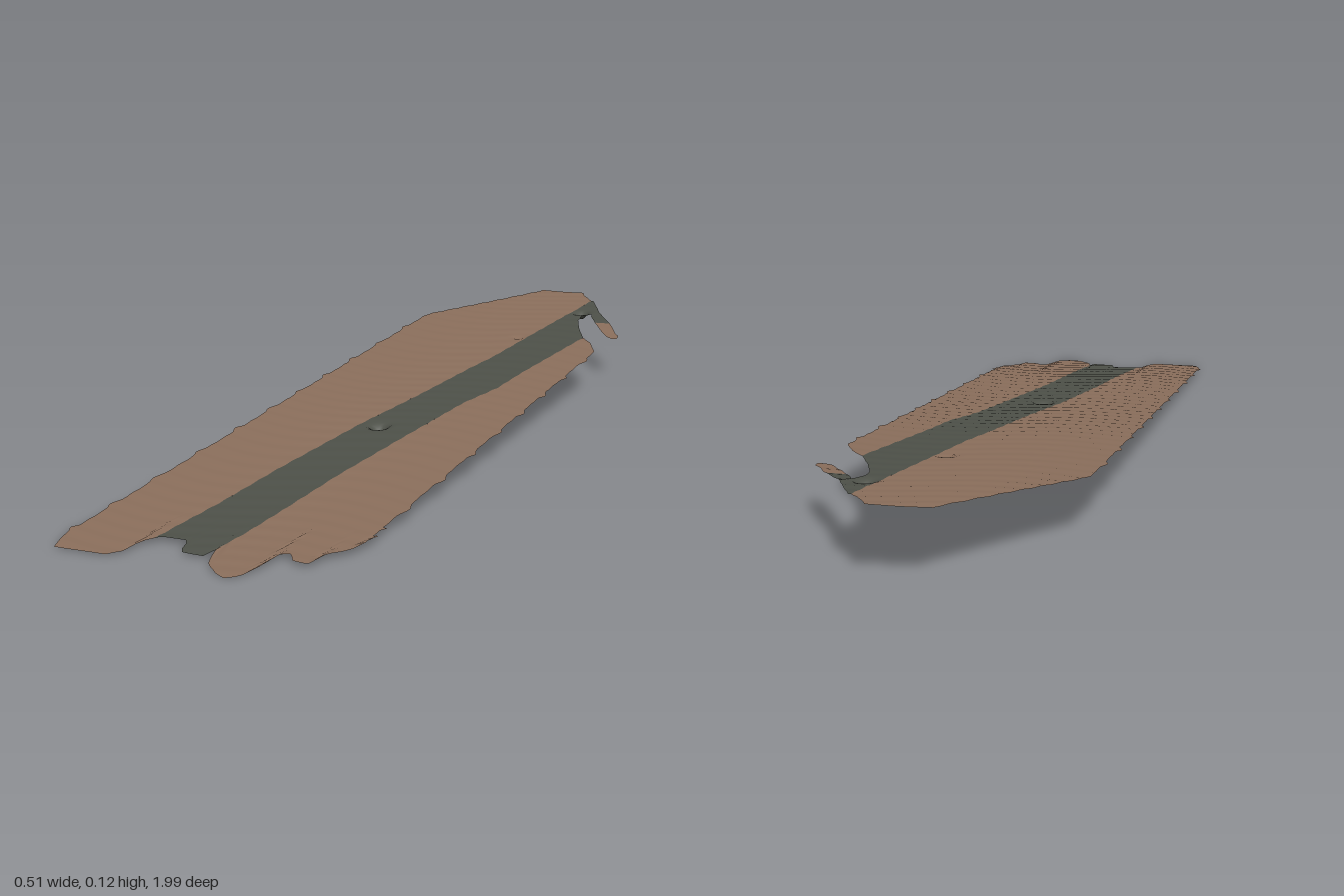
import * as THREE from 'three';

const brown = new THREE.MeshStandardMaterial({ name: 'brownCloth', color: 0x8a6e5b, side: THREE.DoubleSide });
const grey = new THREE.MeshStandardMaterial({ name: 'greyStripe', color: 0x4d5048, side: THREE.DoubleSide });

// Piecewise-linear lookup in a list of [key, value] pairs
function along(points, k) {
  if (k <= points[0][0]) return points[0][1];
  for (let i = 1; i < points.length; i++) {
    const [k0, v0] = points[i - 1], [k1, v1] = points[i];
    if (k <= k1) return v0 + (v1 - v0) * (k - k0) / (k1 - k0);
  }
  return points[points.length - 1][1];
}

// Edges as [z, x]
const leftBorder = [[-0.99, -0.06], [-0.97, -0.07], [-0.84, -0.145], [-0.69, -0.235], [-0.66, -0.247], [0.97, -0.247], [1, -0.232]];
const stripeLeft = [[-0.995, 0.05], [-0.97, 0.06], [-0.92, 0.095], [-0.85, 0.09], [-0.75, 0.08], [-0.55, 0.062],
  [-0.35, 0.045], [-0.25, 0.03], [0, 0], [0.2, -0.03], [0.5, -0.06], [1, -0.093]];
const stripeRight = [[-0.92, 0.1], [-0.86, 0.128], [-0.81, 0.15], [-0.79, 0.138], [-0.76, 0.12], [-0.72, 0.125],
  [-0.65, 0.15], [-0.57, 0.185], [-0.25, 0.15], [-0.12, 0.14], [0, 0.112], [0.25, 0.085], [0.5, 0.06], [1, 0.03]];
const rightBorder = [[-0.57, 0.186], [-0.53, 0.215], [-0.46, 0.247], [1, 0.247]];
const strandInner = [[-0.81, 0.13], [-0.77, 0.142], [-0.70, 0.18], [-0.64, 0.215], [-0.625, 0.225], [-0.615, 0.24]];
const strandOuter = [[-0.81, 0.15], [-0.72, 0.207], [-0.66, 0.235], [-0.64, 0.25], [-0.615, 0.252]];

// Torn front hem as [x, z]
const hem = [[-0.25, 0.94], [-0.232, 0.975], [-0.13, 0.978], [-0.113, 0.955], [-0.105, 0.9], [-0.085, 0.878], [-0.035, 0.877],
  [-0.022, 0.925], [0.024, 0.93], [0.032, 0.89], [0.04, 0.945], [0.055, 0.965], [0.08, 0.99], [0.10, 1], [0.122, 0.985],
  [0.13, 0.95], [0.135, 0.885], [0.155, 0.875], [0.17, 0.9], [0.2, 0.905], [0.208, 0.86], [0.24, 0.82], [0.25, 0.77]];

// Sunken knots as [x, z, radius, depth]
const knots = [[0.01, 0.2, 0.014, 0.024], [0.108, -0.8, 0.014, 0.018], [0.04, -0.53, 0.012, 0.006]];

// Sloping sheet with fine ripples and knots
function height(x, z) {
  let y = 0.062 - 0.059 * z;
  y += 0.0006 * Math.sin(z * 120 + 3 * Math.sin(x * 14) + 2 * Math.sin(z * 7));
  for (const [kx, kz, r, d] of knots) {
    y -= d * Math.exp(-((x - kx) ** 2 + (z - kz) ** 2) / (r * r));
  }
  return y;
}

// Small teeth along the worn side hems
const teeth = z => 0.008 * Math.max(0, Math.sin(z * 43 + Math.sin(z * 5))) ** 4;

// Grid of cloth between two edges
function panel(name, material, left, right, z0, z1, cols, { torn = false, drop = 0 } = {}) {
  const rows = Math.ceil((z1 - z0) / 0.007);
  const position = [], index = [];
  for (let i = 0; i <= rows; i++) {
    const z = z0 + (z1 - z0) * i / rows;
    let a = along(left, z), b = along(right, z);
    if (left === leftBorder && z > -0.68) a -= teeth(z);
    if (right === rightBorder && z > -0.46) b += teeth(z);
    for (let j = 0; j <= cols; j++) {
      const x = a + (b - a) * j / cols;
      const zz = torn && z > 0.7 ? 0.7 + (z - 0.7) / 0.3 * (along(hem, x) - 0.7) : z;
      const sag = drop * Math.max(0, (z + 0.81) / 0.2);
      position.push(x, height(x, zz) - sag, zz);
      if (i < rows && j < cols) {
        const p = i * (cols + 1) + j, q = p + cols + 1;
        index.push(p, q, p + 1, p + 1, q, q + 1);
      }
    }
  }
  const geometry = new THREE.BufferGeometry();
  geometry.setAttribute('position', new THREE.Float32BufferAttribute(position, 3));
  geometry.setIndex(index);
  geometry.computeVertexNormals();
  const mesh = new THREE.Mesh(geometry, material);
  mesh.name = name;
  return mesh;
}

export function createModel() {
  const model = new THREE.Group();
  model.name = 'tatteredCloth';
  const torn = { torn: true };
  model.add(
    panel('rightCloth', brown, leftBorder, stripeLeft, -0.995, 1, 28, torn),
    panel('stripe', grey, stripeLeft, stripeRight, -0.92, 1, 18, torn),
    panel('leftCloth', brown, stripeRight, rightBorder, -0.57, 1, 28, torn),
    // Loose strand torn from the back corner
    panel('strand', grey, strandInner, strandOuter, -0.81, -0.73, 4, { drop: 0.01 }),
    panel('strandTip', brown, strandInner, strandOuter, -0.73, -0.615, 4, { drop: 0.01 }),
  );
  return model;
}
